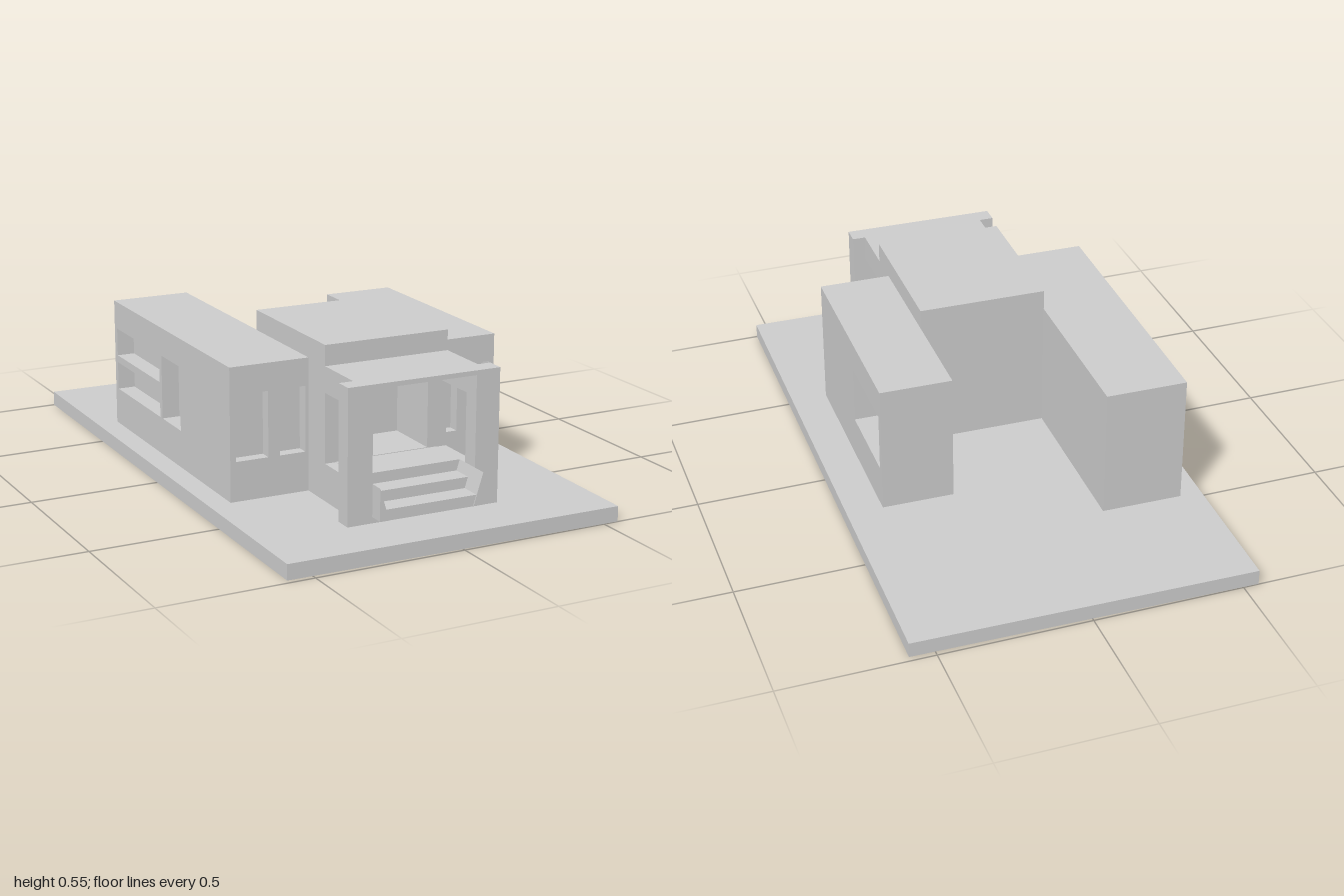
import * as THREE from 'three';

const material = new THREE.MeshStandardMaterial({ color: 0xcccccc, flatShading: true });

// Add a named mesh to a group
function add(group, name, geometry) {
  const mesh = new THREE.Mesh(geometry, material);
  mesh.name = name;
  group.add(mesh);
  return mesh;
}

// Box given by its limits
function block(group, name, [x0, x1], [y0, y1], [z0, z1]) {
  const g = new THREE.BoxGeometry(x1 - x0, y1 - y0, z1 - z0);
  g.translate((x0 + x1) / 2, (y0 + y1) / 2, (z0 + z1) / 2);
  return add(group, name, g);
}

// Wall slab with rectangular openings [u0, u1, y0, y1]
function wallGeometry([u0, u1], [y0, y1], depth, openings) {
  const rect = (path, a, b, c, d) =>
    path.moveTo(a, c).lineTo(b, c).lineTo(b, d).lineTo(a, d).closePath();
  const shape = rect(new THREE.Shape(), u0, u1, y0, y1);
  for (const [a, b, c, d] of openings) shape.holes.push(rect(new THREE.Path(), a, b, c, d));
  return new THREE.ExtrudeGeometry(shape, { depth, bevelEnabled: false });
}

// Wall facing the front, occupying z0 to z1
function frontWall(group, name, xs, ys, [z0, z1], openings) {
  add(group, name, wallGeometry(xs, ys, z1 - z0, openings).translate(0, 0, z0));
}

// Wall facing sideways, occupying x0 to x1; openings run along z
function sideWall(group, name, [x0, x1], ys, zs, openings) {
  const g = wallGeometry(zs, ys, x1 - x0, openings);
  add(group, name, g.rotateY(-Math.PI / 2).translate(x1, 0, 0));
}

function part(parent, name) {
  const g = new THREE.Group();
  g.name = name;
  parent.add(g);
  return g;
}

export function createModel() {
  const model = new THREE.Group();
  model.name = 'house';
  // The whole plot sits very slightly turned
  const plot = part(model, 'plot');
  plot.rotation.y = -0.0152;

  const ground = 0.05, eaves = 0.485, floor = 0.175;
  const wallY = [ground, eaves];
  block(plot, 'groundSlab', [-0.567, 0.567], [0, ground], [-0.99, 0.99]);

  // Long wing: recessed windows on the front and outer side
  const long = part(plot, 'longWing');
  block(long, 'longWingCore', [-0.433, -0.223], wallY, [-0.537, 0.392]);
  sideWall(long, 'longWingSideWall', [-0.493, -0.433], wallY, [-0.537, 0.392], [
    [-0.515, -0.134, 0.295, 0.39],
    [-0.515, -0.134, 0.175, 0.27],
    [-0.115, 0.04, 0.175, 0.39],
  ]);
  frontWall(long, 'longWingFrontWall', [-0.493, -0.223], wallY, [0.392, 0.432], [
    [-0.473, -0.363, 0.18, 0.395],
    [-0.323, -0.235, 0.18, 0.395],
  ]);

  // Short wing: two front windows and one deep side window
  const short = part(plot, 'shortWing');
  block(short, 'shortWingCore', [0.206, 0.346], wallY, [-0.293, 0.393]);
  sideWall(short, 'shortWingSideWall', [0.346, 0.446], wallY, [-0.293, 0.393], [
    [-0.272, 0.033, 0.19, 0.385],
  ]);
  frontWall(short, 'shortWingFrontWall', [0.206, 0.446], wallY, [0.393, 0.433], [
    [0.225, 0.311, 0.175, 0.395],
    [0.347, 0.428, 0.175, 0.395],
  ]);

  // Taller central hall with a deep doorway
  const hallX = [-0.224, 0.206], hallY = [ground, 0.552];
  const hall = part(plot, 'hall');
  block(hall, 'hallCore', hallX, hallY, [0.05, 0.347]);
  frontWall(hall, 'doorwayWall', hallX, hallY, [0.347, 0.547], [
    [-0.157, 0.138, floor, 0.395],
  ]);

  // Porch: floor, side walls open above the floor, thin roof, wide portal
  const porch = part(plot, 'porch');
  const porchZ = [0.547, 0.733];
  block(porch, 'porchFloor', [-0.188, 0.168], [ground, floor - 0.002], [0.547, 0.64]);
  for (const [x0, x1] of [[-0.224, -0.188], [0.168, 0.206]]) {
    block(porch, 'porchParapet', [x0, x1], [ground, 0.172], porchZ);
    block(porch, 'porchBeam', [x0, x1], [0.4, 0.47], porchZ);
  }
  block(porch, 'porchRoof', hallX, [0.47, eaves], porchZ);
  frontWall(porch, 'portal', [-0.272, 0.25], wallY, [0.733, 0.793], [
    [-0.188, 0.168, 0.07, 0.47],
  ]);

  // Three steps between wedge-shaped cheeks
  const stairs = part(plot, 'stairs');
  const treads = [[0.175, 0.70], [0.14, 0.77], [0.105, 0.84]];
  let back = 0.64;
  for (const [top, front] of treads) {
    block(stairs, 'step', [-0.188, 0.168], [0.07, top], [back, front]);
    back = front;
  }
  for (const [x, inward] of [[-0.188, 1], [0.168, -1]]) {
    const wedge = new THREE.Shape([
      new THREE.Vector2(x, 0.07),
      new THREE.Vector2(x + inward * 0.032, 0.07),
      new THREE.Vector2(x, floor),
    ]);
    const g = new THREE.ExtrudeGeometry(wedge, { depth: 0.203, bevelEnabled: false });
    add(stairs, 'stairCheek', g.translate(0, 0, 0.64));
  }
  return model;
}
